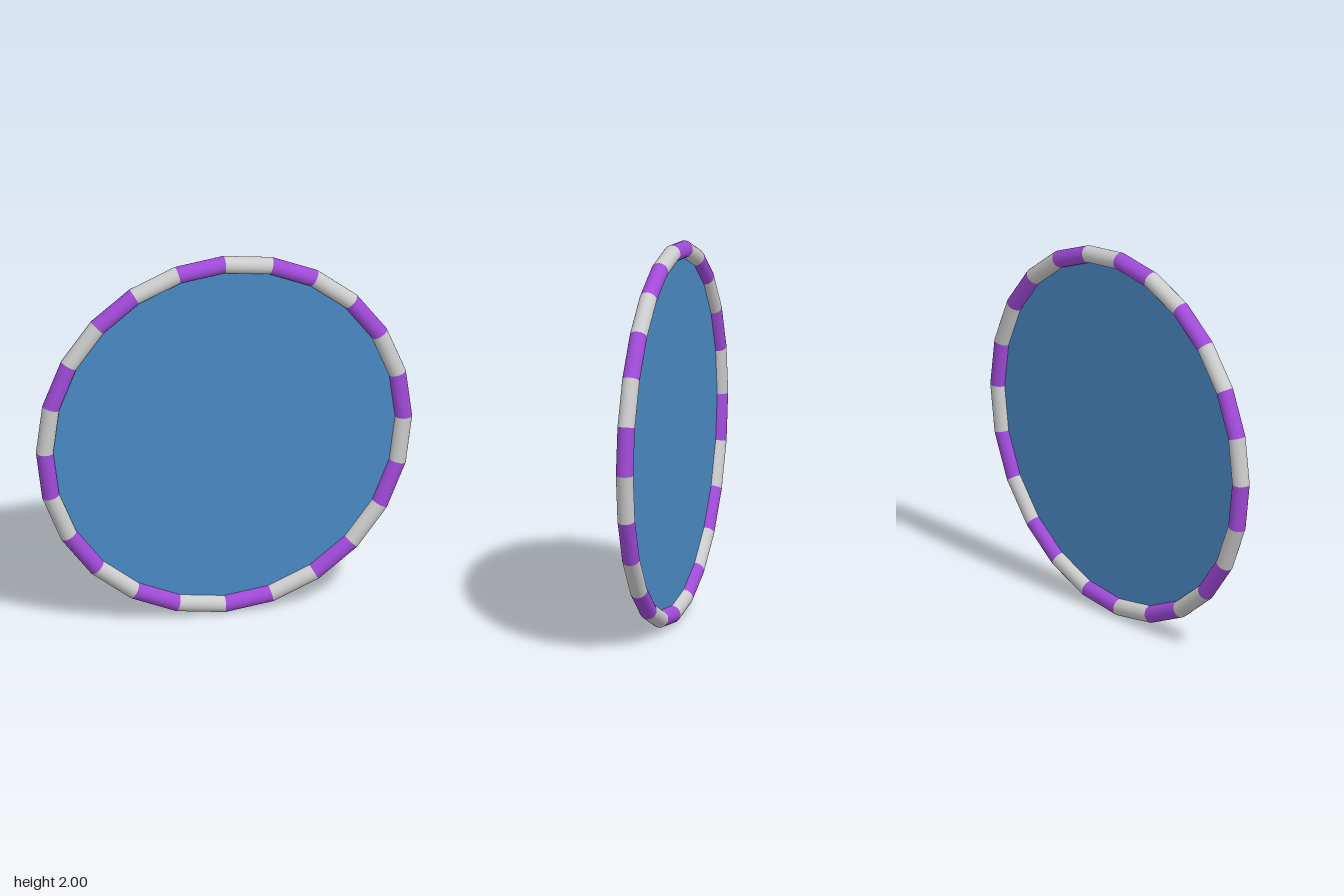
import * as THREE from 'three';

const SEGMENTS = 24;
const RING = 0.955;  // radius to the tube's centre line
const TUBE = 0.045;  // tube radius
const STEP = (Math.PI * 2) / SEGMENTS;

// One straight piece of tube with mitred ends, lying on the +x side of the ring
function segmentGeometry() {
  const geometry = new THREE.CylinderGeometry(TUBE, TUBE, 1, 24, 1, true);
  const pos = geometry.attributes.position;
  for (let i = 0; i < pos.count; i++) {
    const radius = RING + pos.getX(i);
    pos.setX(i, radius * Math.cos(STEP / 2));
    pos.setY(i, Math.sign(pos.getY(i)) * radius * Math.sin(STEP / 2));
  }
  return geometry;
}

export function createModel() {
  const model = new THREE.Group();
  const grey = new THREE.MeshStandardMaterial({ color: 0xcccccc });
  const purple = new THREE.MeshStandardMaterial({ color: 0xa04ad8 });
  const blue = new THREE.MeshStandardMaterial({ color: 0x4a8ac4, side: THREE.DoubleSide });

  // Rim of alternating coloured pieces
  const rim = new THREE.Group();
  rim.name = 'rim';
  const geometry = segmentGeometry();
  for (let i = 0; i < SEGMENTS; i++) {
    const piece = new THREE.Mesh(geometry, i % 2 ? grey : purple);
    piece.name = i % 2 ? 'greyRimSegment' : 'purpleRimSegment';
    piece.rotation.z = (i + 0.5) * STEP;
    rim.add(piece);
  }

  // Thin sheet stretched across the rim
  const sheet = new THREE.Mesh(new THREE.CircleGeometry(RING, SEGMENTS), blue);
  sheet.name = 'sheet';

  model.add(rim, sheet);
  model.children.forEach((part) => { part.position.y = 1; });
  return model;
}
